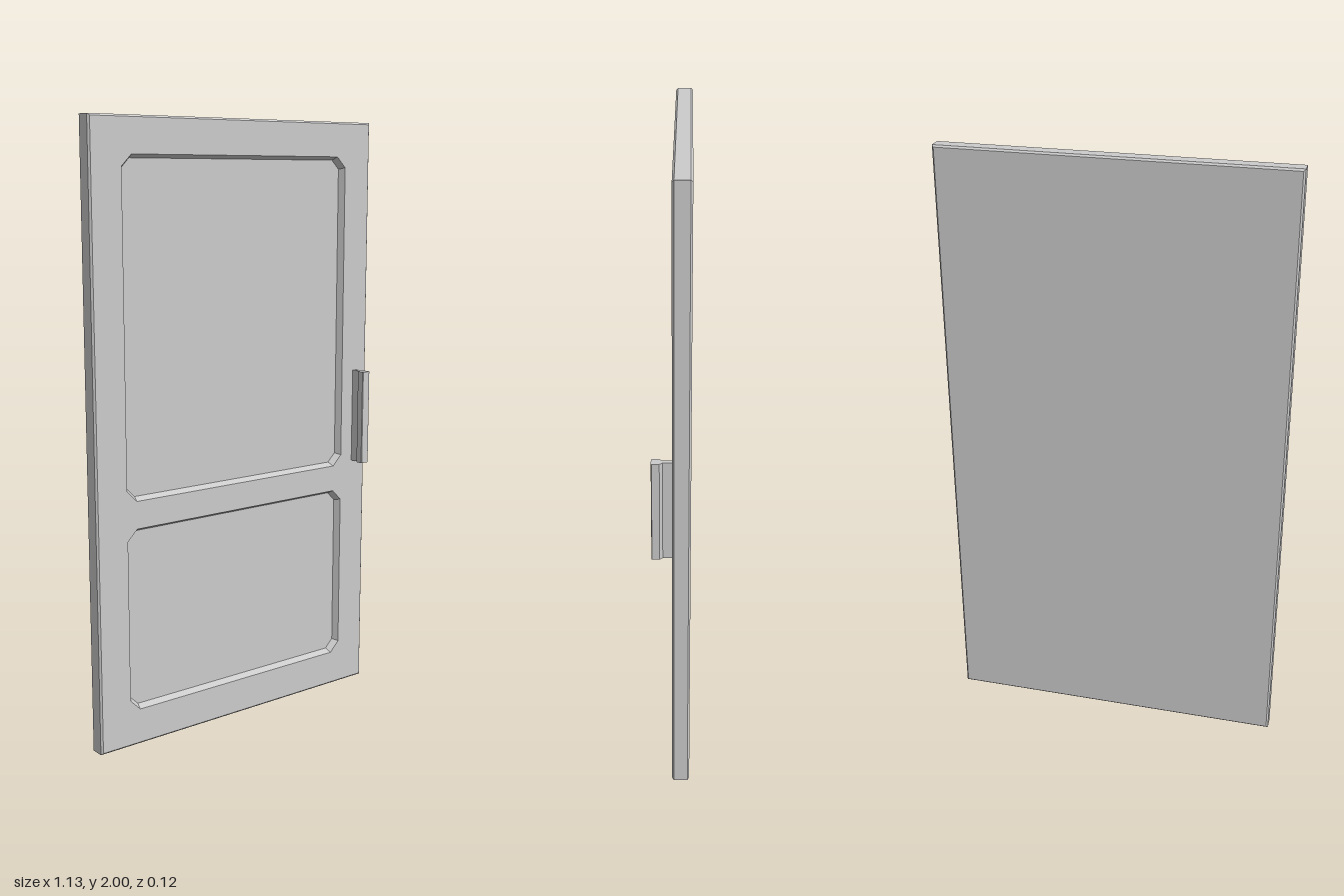
import * as THREE from 'three';

const FRONT = -0.003, BACK = -0.059, BEVEL = 0.006;
const material = new THREE.MeshStandardMaterial({ color: 0xcccccc });

// Counter-clockwise rectangle with optional cut corners
function rect(x0, x1, y0, y1, c = 0) {
  const pts = c
    ? [[x0 + c, y0], [x1 - c, y0], [x1, y0 + c], [x1, y1 - c], [x1 - c, y1], [x0 + c, y1], [x0, y1 - c], [x0, y0 + c]]
    : [[x0, y0], [x1, y0], [x1, y1], [x0, y1]];
  return pts.map(([x, y]) => new THREE.Vector2(x, y));
}

// Flat-shaded band through matching loops, ordered from back to front
function band(loops) {
  const pos = [];
  for (let k = 0; k < loops.length - 1; k++) {
    const a = loops[k], b = loops[k + 1], n = a.pts.length;
    for (let i = 0; i < n; i++) {
      const j = (i + 1) % n;
      const corner = (l, m) => [l.pts[m].x, l.pts[m].y, l.z];
      pos.push(...corner(a, i), ...corner(a, j), ...corner(b, j));
      pos.push(...corner(a, i), ...corner(b, j), ...corner(b, i));
    }
  }
  const geo = new THREE.BufferGeometry();
  geo.setAttribute('position', new THREE.Float32BufferAttribute(pos, 3));
  geo.computeVertexNormals();
  return geo;
}

export function createModel() {
  const group = new THREE.Group();
  const add = (name, geo) => {
    const mesh = new THREE.Mesh(geo, material);
    mesh.name = name;
    group.add(mesh);
    return mesh;
  };

  // Door slab: bevelled edges and plain back
  const outer = rect(-0.563, 0.563, 0, 2);
  const inner = rect(-0.563 + BEVEL, 0.563 - BEVEL, BEVEL, 2 - BEVEL);
  add('slabEdges', band([
    { pts: inner, z: BACK }, { pts: outer, z: BACK + BEVEL },
    { pts: outer, z: FRONT - BEVEL }, { pts: inner, z: FRONT },
  ]));
  const back = add('slabBack', new THREE.ShapeGeometry(new THREE.Shape(inner)));
  back.geometry.rotateY(Math.PI);
  back.position.z = BACK;

  // Front frame with two sunken panels
  const frame = new THREE.Shape(inner);
  const depth = 0.022, slope = 0.011;
  for (const [name, y0, y1] of [['upperPanel', 0.815, 1.885], ['lowerPanel', 0.12, 0.725]]) {
    const rim = rect(-0.45, 0.45, y0, y1, 0.036);
    const floor = rect(-0.45 + slope, 0.45 - slope, y0 + slope, y1 - slope, 0.03);
    frame.holes.push(new THREE.Path(rim));
    add(name + 'Border', band([{ pts: rim, z: FRONT }, { pts: floor, z: FRONT - depth }]));
    add(name, new THREE.ShapeGeometry(new THREE.Shape(floor))).position.z = FRONT - depth;
  }
  add('frontFrame', new THREE.ShapeGeometry(frame)).position.z = FRONT;

  // Pull handle: narrow neck flaring to a wider grip, extruded upwards
  const half = [[0.0075, -0.005], [0.0075, 0.025], [0.016, 0.034], [0.016, 0.057], [0.014, 0.059]];
  const profile = [...half, ...half.map(([x, z]) => [-x, z]).reverse()];
  const handle = new THREE.Shape(profile.map(([x, z]) => new THREE.Vector2(x, -z)));
  const geo = new THREE.ExtrudeGeometry(handle, { depth: 0.325, bevelEnabled: false });
  geo.rotateX(-Math.PI / 2);
  add('handle', geo).position.set(0.508, 0.825, 0);

  return group;
}
